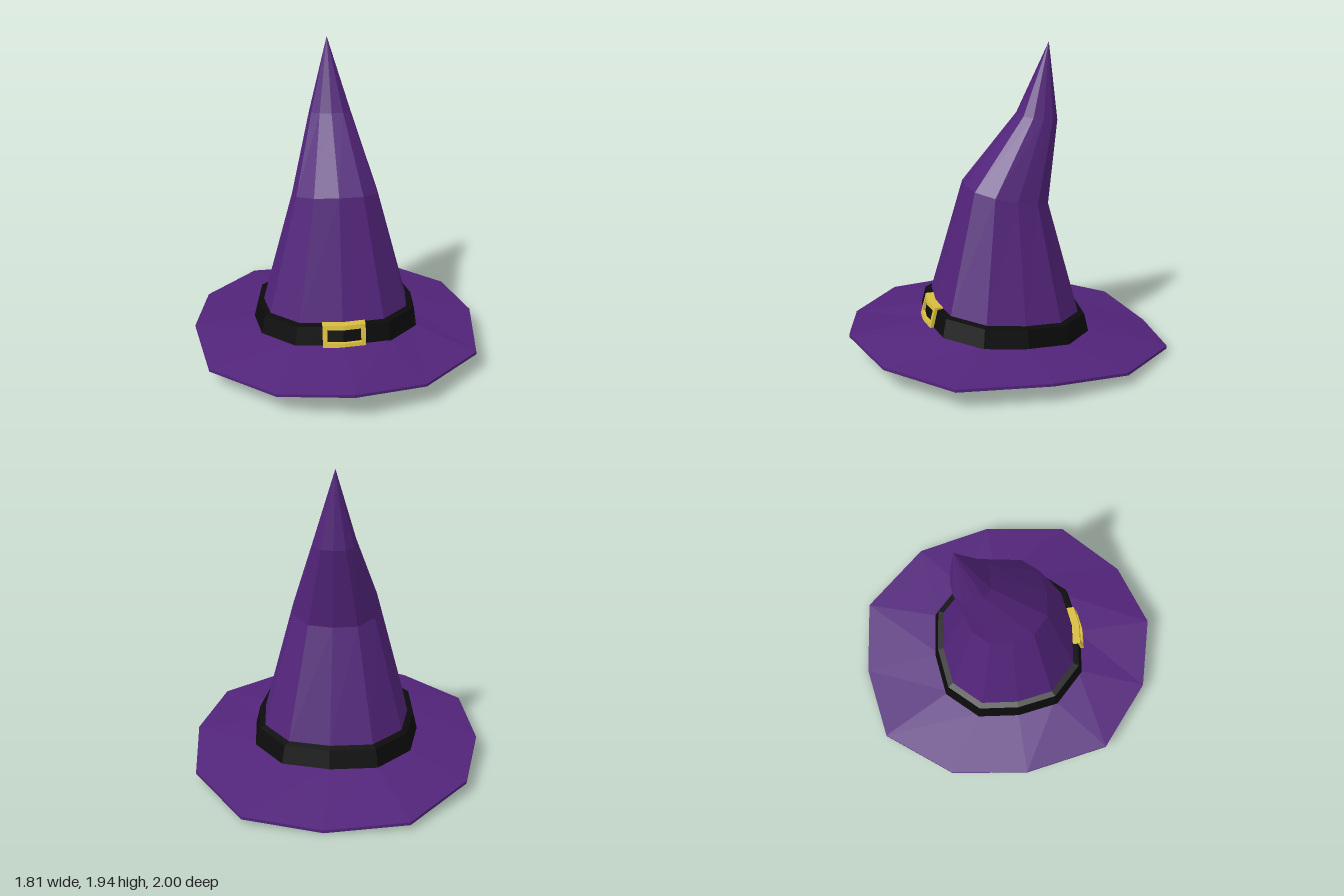
import * as THREE from 'three';

const mat = (color) => new THREE.MeshStandardMaterial({ color, flatShading: true, side: THREE.DoubleSide });
const PURPLE = mat(0x52247a), BLACK = mat(0x0b0b0b), GOLD = mat(0xd8bc3e);
const SIDES = 12;

// uneven twelve-sided outline, from the front (+z) round through +x
const quarter = [[0, 1], [0.56, 0.925], [0.93, 0.53], [1, 0]];
const outline = [];
for (let i = 0; i < SIDES; i++) {
  const q = i <= 3 ? quarter[i] : i <= 6 ? quarter[6 - i] : i <= 9 ? quarter[i - 6] : quarter[12 - i];
  outline.push([q[0] * (i > 6 ? -1 : 1), q[1] * (i > 3 && i < 9 ? -1 : 1)]);
}

// ring of points; tilt raises the front
function ring(rx, rz, cx, y, cz, tilt) {
  return outline.map(([u, v]) => new THREE.Vector3(cx + rx * u, y + rz * v * tilt, cz + rz * v));
}
const point = (x, y, z) => outline.map(() => new THREE.Vector3(x, y, z));

// skin between successive rings
function loft(name, rings, material) {
  const pos = [];
  const tri = (a, b, c) => {
    if (a.equals(b) || b.equals(c) || c.equals(a)) return;
    for (const p of [a, b, c]) pos.push(p.x, p.y, p.z);
  };
  for (let r = 0; r < rings.length - 1; r++) {
    for (let i = 0; i < SIDES; i++) {
      const j = (i + 1) % SIDES, lo = rings[r], hi = rings[r + 1];
      tri(lo[i], lo[j], hi[j]);
      tri(lo[i], hi[j], hi[i]);
    }
  }
  const g = new THREE.BufferGeometry();
  g.setAttribute('position', new THREE.Float32BufferAttribute(pos, 3));
  g.computeVertexNormals();
  const mesh = new THREE.Mesh(g, material);
  mesh.name = name;
  return mesh;
}

export function createModel() {
  const hat = new THREE.Group();
  hat.name = 'hat';

  // brim: lopsided edge that droops at the back
  const edge = [
    [0.01, 0.168, 1], [0.445, 0.13, 0.87], [0.82, 0.118, 0.53], [0.905, 0.115, -0.02],
    [0.82, 0.07, -0.52], [0.47, 0.03, -0.94], [-0.01, 0.002, -1], [-0.5, 0.03, -0.92],
    [-0.83, 0.07, -0.5], [-0.908, 0.113, 0], [-0.815, 0.118, 0.555], [-0.43, 0.13, 0.885],
  ].map((p) => new THREE.Vector3(...p));
  const edgeTop = edge.map((p) => p.clone().add(new THREE.Vector3(0, 0.018, 0)));
  hat.add(loft('brim', [
    point(0, 0.11, 0), edge, edgeTop, ring(0.5, 0.485, 0, 0.182, 0, 0.085),
  ], PURPLE));

  // bent crown
  hat.add(loft('crown', [
    ring(0.475, 0.465, 0, 0.2, 0, 0.087),
    ring(0.46, 0.447, 0, 0.3, 0, 0.087),
    ring(0.268, 0.253, 0, 1.018, -0.008, 0.228),
    ring(0.13, 0.118, -0.01, 1.483, -0.218, 0.15),
    point(-0.02, 1.937, -0.295),
  ], PURPLE));

  // band
  hat.add(loft('band', [
    ring(0.525, 0.512, 0, 0.175, 0, 0.085),
    ring(0.497, 0.485, 0, 0.291, 0, 0.087),
    ring(0.455, 0.442, 0, 0.301, 0, 0.087),
  ], BLACK));

  // buckle: four bars, leaning back and folded round the band's front corner
  const buckle = new THREE.Group();
  buckle.name = 'buckle';
  const bar = (name, w, h, x, y) => {
    const g = new THREE.BoxGeometry(w, h, 0.05, 2, 1, 1).translate(x, y, 0);
    const p = g.attributes.position;
    for (let i = 0; i < p.count; i++) {
      p.setZ(i, p.getZ(i) - 0.27 * p.getY(i) - 0.12 * Math.abs(p.getX(i)));
    }
    g.computeVertexNormals();
    const m = new THREE.Mesh(g, GOLD);
    m.name = name;
    buckle.add(m);
  };
  bar('buckleTop', 0.262, 0.026, 0, 0.053);
  bar('buckleBottom', 0.262, 0.026, 0, -0.053);
  bar('buckleLeft', 0.027, 0.08, 0.1175, 0);
  bar('buckleRight', 0.027, 0.08, -0.1175, 0);
  buckle.position.set(0.005, 0.281, 0.49);
  hat.add(buckle);

  return hat;
}
